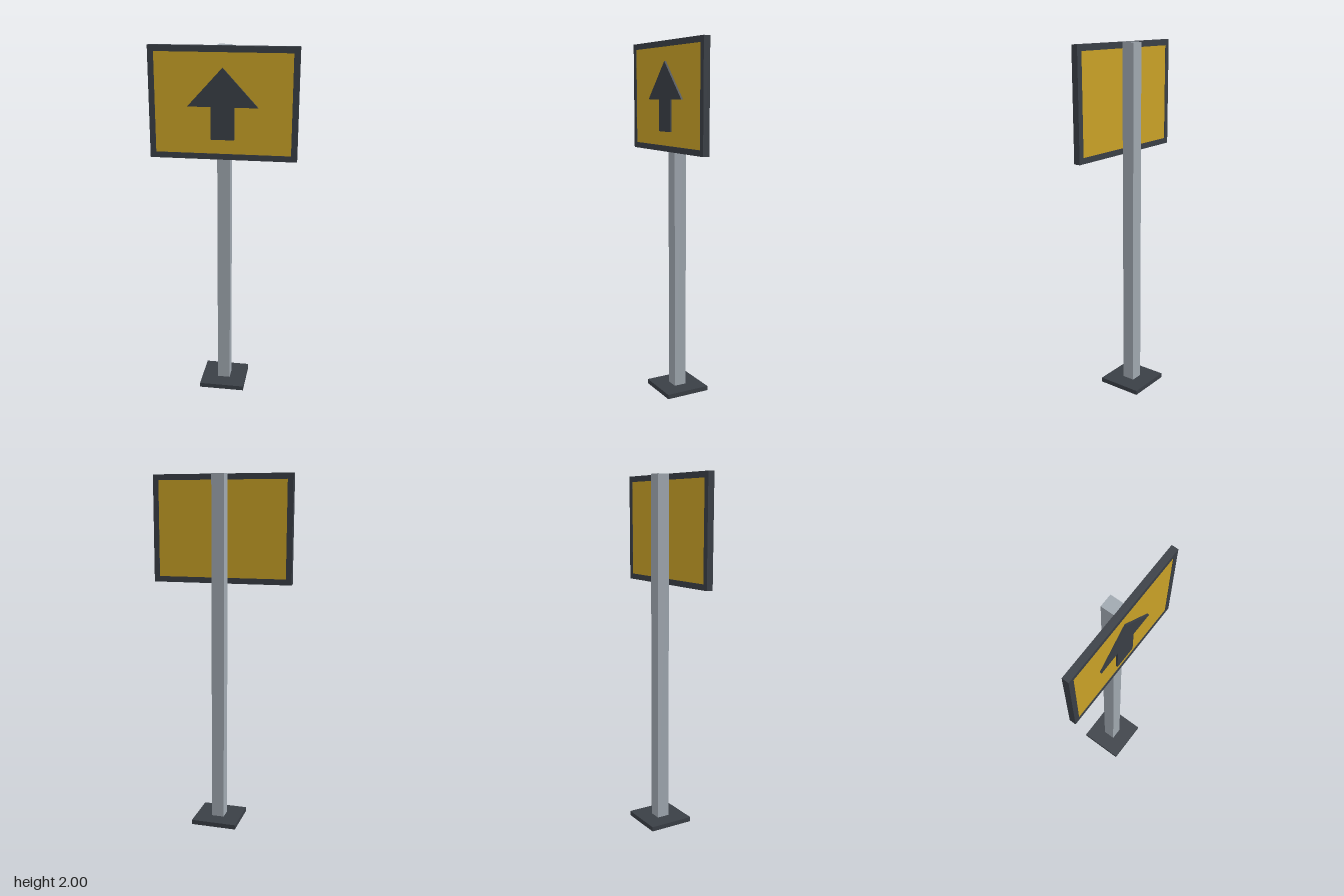
import * as THREE from 'three';

const mat = (name, color) => {
  const m = new THREE.MeshStandardMaterial({ color });
  m.name = name;
  return m;
};

export function createModel() {
  const group = new THREE.Group();
  const dark = mat('charcoal', 0x3a3f46);
  const grey = mat('galvanised grey', 0xa0a8b0);
  const yellow = mat('sign yellow', 0xc9a227);

  const add = (name, geometry, material, x, y, z) => {
    const mesh = new THREE.Mesh(geometry, material);
    mesh.name = name;
    mesh.position.set(x, y, z);
    group.add(mesh);
  };
  const extrude = (shape, depth) =>
    new THREE.ExtrudeGeometry(shape, { depth, bevelEnabled: false });
  const rect = (w, h) => [[-w, -h], [w, -h], [w, h], [-w, h]].map(([x, y]) => new THREE.Vector2(x, y));

  // Foot and square post
  add('basePlate', new THREE.BoxGeometry(0.26, 0.026, 0.26), dark, 0, 0.013, 0);
  add('post', new THREE.BoxGeometry(0.072, 1.974, 0.072), grey, 0, 1.013, 0);

  // Rectangular frame around the panel
  const frame = new THREE.Shape(rect(0.4, 0.3));
  frame.holes.push(new THREE.Path(rect(0.368, 0.268).reverse()));
  add('signFrame', extrude(frame, 0.037), dark, 0, 1.7, 0.035);
  add('signPanel', new THREE.BoxGeometry(0.736, 0.536, 0.033), yellow, 0, 1.7, 0.053);

  // Raised upward arrow
  const arrow = new THREE.Shape([
    [0, 0.19], [-0.19, -0.015], [-0.063, -0.015], [-0.063, -0.19],
    [0.063, -0.19], [0.063, -0.015], [0.19, -0.015],
  ].map(([x, y]) => new THREE.Vector2(x, y)));
  add('arrow', extrude(arrow, 0.012), dark, 0, 1.7, 0.069);

  return group;
}
